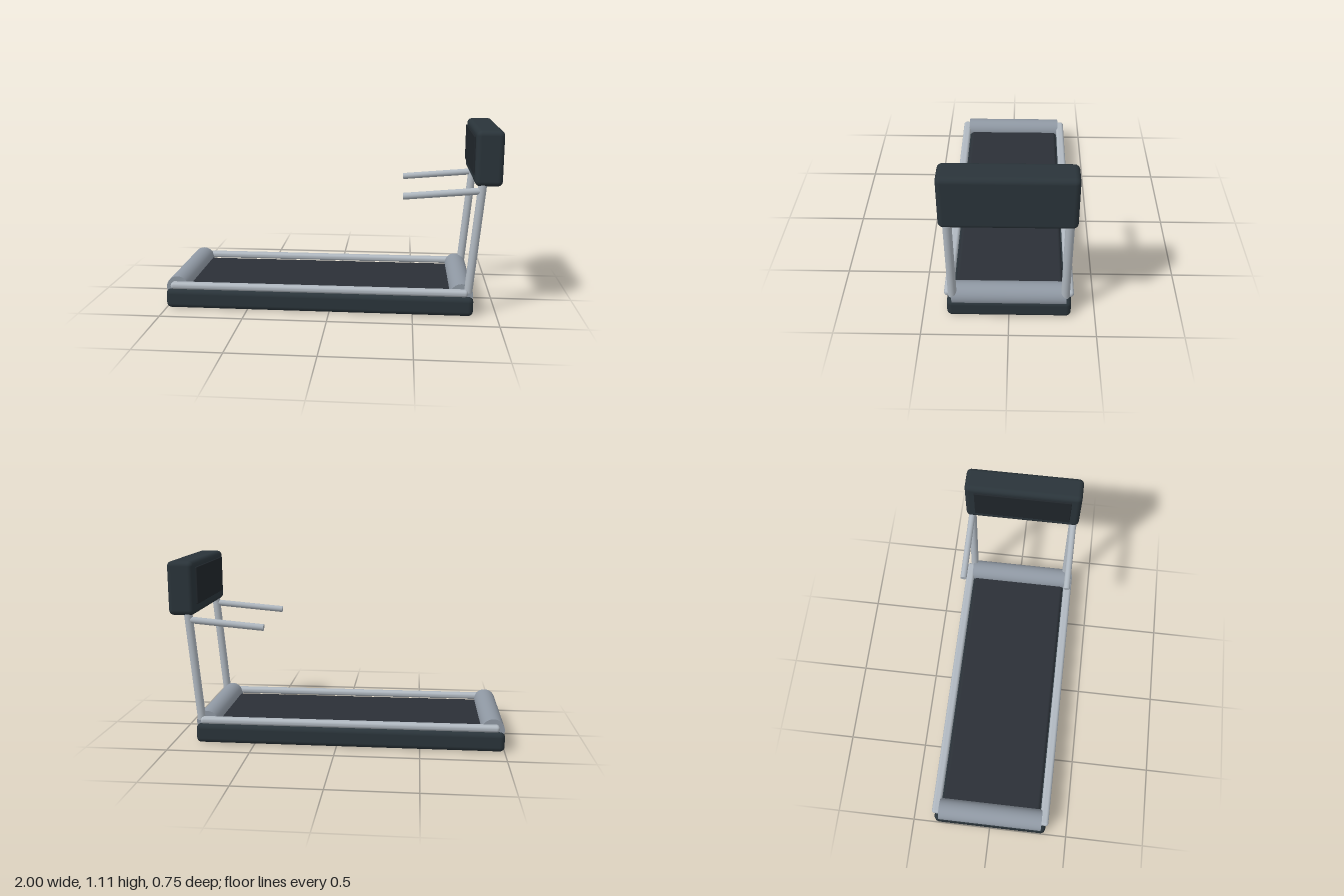
import * as THREE from 'three';
import { RoundedBoxGeometry } from 'three/addons/geometries/RoundedBoxGeometry.js';

const mat = (name, color) => {
  const m = new THREE.MeshStandardMaterial({ color });
  m.name = name;
  return m;
};

export function createModel() {
  const group = new THREE.Group();
  const body = mat('dark slate', 0x2a343a);
  const rubber = mat('belt rubber', 0x2b3037);
  const metal = mat('light metal', 0xb0b8c0);
  const rollerGrey = mat('roller grey', 0x8f98a3);
  const glass = mat('screen black', 0x20262b);

  const add = (name, geometry, material) => {
    const mesh = new THREE.Mesh(geometry, material);
    mesh.name = name;
    group.add(mesh);
    return mesh;
  };

  // Rounded box given by its min and max corners
  const box = (name, material, a, b, radius) => {
    const size = a.map((v, i) => b[i] - v);
    const mesh = add(name, new RoundedBoxGeometry(...size, 4, radius), material);
    mesh.position.set(...a.map((v, i) => (v + b[i]) / 2));
    return mesh;
  };

  // Round bar between two points
  const bar = (name, material, a, b, radius) => {
    const from = new THREE.Vector3(...a);
    const dir = new THREE.Vector3(...b).sub(from);
    const mesh = add(name, new THREE.CylinderGeometry(radius, radius, dir.length(), 32), material);
    mesh.position.copy(from).addScaledVector(dir, 0.5);
    mesh.quaternion.setFromUnitVectors(new THREE.Vector3(0, 1, 0), dir.normalize());
    return mesh;
  };

  // Deck and running belt
  box('deck', body, [-1, 0, -0.36], [0.86, 0.118, 0.36], 0.03);
  box('belt', rubber, [-0.95, 0.09, -0.315], [0.81, 0.132, 0.315], 0.02);

  // Rollers at both ends of the belt
  for (const [name, x] of [['rearRoller', -0.93], ['frontRoller', 0.79]]) {
    bar(name, rollerGrey, [x, 0.128, -0.33], [x, 0.128, 0.33], 0.068);
  }

  // Side rails, uprights and handles
  for (const [side, s] of [['near', 1], ['far', -1]]) {
    const rail = box(side + 'SideRail', metal, [-0.965, 0.125, -0.0275], [0.825, 0.166, 0.0275], 0.018);
    rail.position.z = s * 0.3475;
    bar(side + 'Upright', metal, [0.827, 0.145, s * 0.325], [0.888, 0.82, s * 0.325], 0.025);
    bar(side + 'Handle', metal, [0.432, 0.72, s * 0.327], [0.87, 0.758, s * 0.327], 0.02);
  }

  // Console with its screen facing the runner
  box('console', body, [0.84, 0.788, -0.36], [0.998, 1.108, 0.36], 0.03);
  box('screen', glass, [0.83, 0.85, -0.3], [0.85, 1.07, 0.3], 0.004);

  return group;
}
